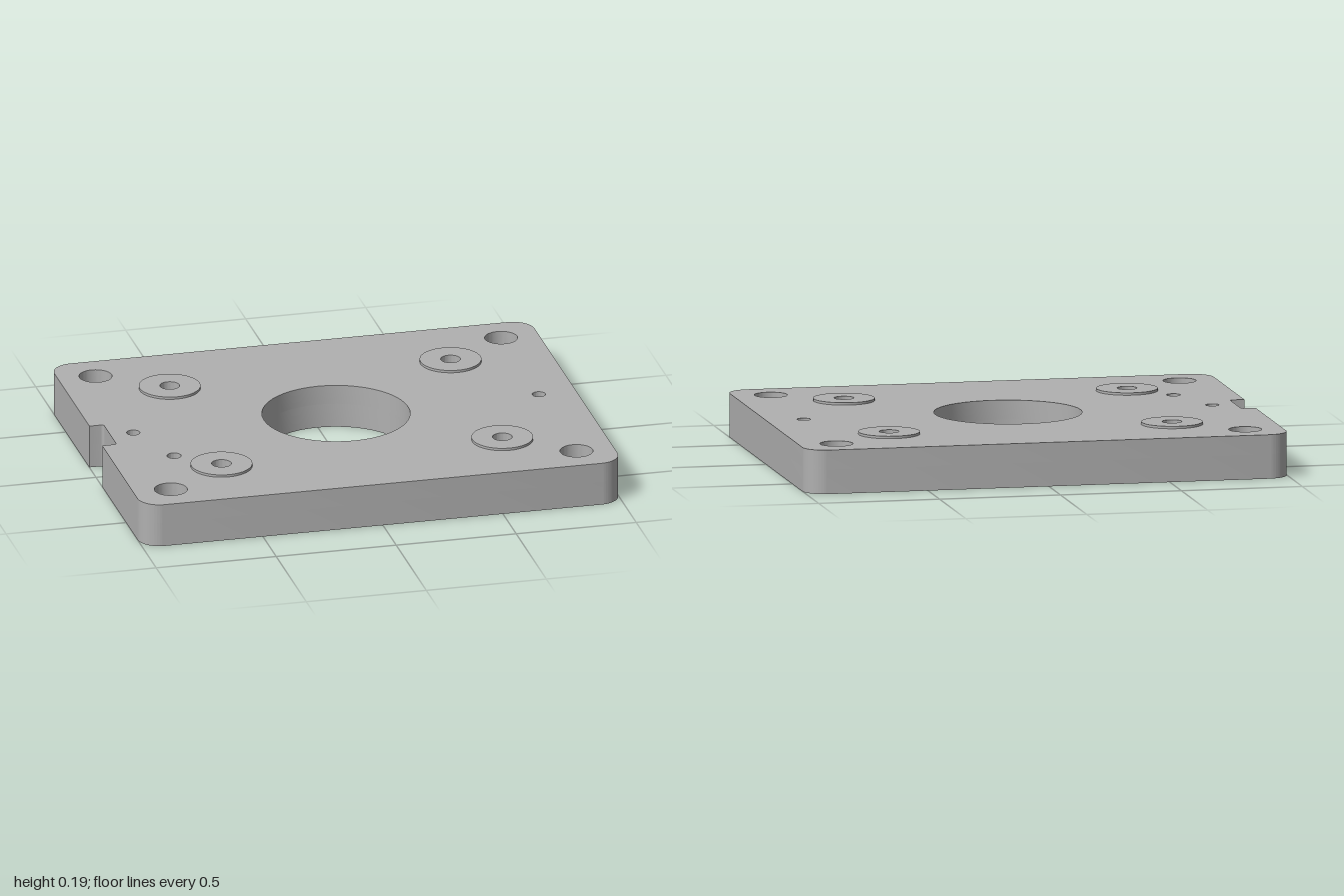
import * as THREE from 'three';
import { toCreasedNormals } from 'three/addons/utils/BufferGeometryUtils.js';

const TOP = 0.18, FLOOR = 0.1; // plate top, underside of the skin
const W = 1, D = 0.78;

export function createModel() {
  const group = new THREE.Group();
  const metal = new THREE.MeshStandardMaterial({ color: 0xb0b0b0 });
  metal.name = 'grey metal';

  // Extrude a plan drawn in (x, z) between heights y0 and y1
  function slab(name, shape, y0, y1) {
    let geo = new THREE.ExtrudeGeometry(shape, { depth: y1 - y0, bevelEnabled: false, curveSegments: 24 });
    geo.rotateX(Math.PI / 2);
    geo.translate(0, y1, 0);
    geo = toCreasedNormals(geo, 0.6);
    const mesh = new THREE.Mesh(geo, metal);
    mesh.name = name;
    group.add(mesh);
  }
  function circle(x, z, r, Type = THREE.Path) {
    return new Type().absarc(x, z, r, 0, Math.PI * 2, false);
  }
  function ring(name, x, z, r, hole, y0, y1) {
    const s = circle(x, z, r, THREE.Shape);
    s.holes.push(circle(x, z, hole));
    slab(name, s, y0, y1);
  }
  // Rounded outline with the cable notch in the -x edge
  function outline() {
    const r = 0.09, s = new THREE.Shape();
    s.moveTo(-W + r, -D);
    s.lineTo(W - r, -D);
    s.absarc(W - r, -D + r, r, -Math.PI / 2, 0, false);
    s.lineTo(W, D - r);
    s.absarc(W - r, D - r, r, 0, Math.PI / 2, false);
    s.lineTo(-W + r, D);
    s.absarc(-W + r, D - r, r, Math.PI / 2, Math.PI, false);
    s.lineTo(-W, 0.105);
    s.lineTo(-0.955, 0.105);
    s.quadraticCurveTo(-0.94, 0.105, -0.94, 0.09);
    s.lineTo(-0.94, -0.095);
    s.quadraticCurveTo(-0.94, -0.11, -0.955, -0.11);
    s.lineTo(-W, -0.11);
    s.lineTo(-W, -D + r);
    s.absarc(-W + r, -D + r, r, Math.PI, Math.PI * 1.5, false);
    return s;
  }

  const quads = [[1, 1], [1, -1], [-1, 1], [-1, -1]];
  const corners = quads.map(([a, b]) => [a * 0.845, b * 0.625]);
  const mounts = quads.map(([a, b]) => [a * 0.585, b * 0.43]);
  const pins = [[0.845, 0], [-0.845, 0]];
  const extra = [-0.745, 0.28];

  // Top skin with all its openings
  const skin = outline();
  skin.holes.push(circle(0, 0, 0.3), circle(...extra, 0.029));
  corners.forEach(c => skin.holes.push(circle(...c, 0.067)));
  mounts.forEach(c => skin.holes.push(circle(...c, 0.04)));
  pins.forEach(c => skin.holes.push(circle(...c, 0.027)));
  slab('topPlate', skin, FLOOR, TOP);

  // Outer wall, thickened around the notch
  const px = 0.92, pz = 0.7, wall = outline();
  const pocket = [[-px, -pz], [px, -pz], [px, pz], [-px, pz],
    [-px, 0.18], [-0.88, 0.18], [-0.88, -0.18], [-px, -0.18]];
  wall.holes.push(new THREE.Path(pocket.map(p => new THREE.Vector2(...p))));
  slab('outerWall', wall, 0, FLOOR);

  // Hub and bosses on the underside, raised pads on top
  ring('hub', 0, 0, 0.39, 0.3, 0, FLOOR);
  corners.forEach(c => ring('cornerBoss', ...c, 0.11, 0.04, 0, FLOOR));
  mounts.forEach(c => {
    ring('mountBoss', ...c, 0.105, 0.06, 0, FLOOR);
    ring('mountPad', ...c, 0.125, 0.04, TOP, 0.19);
  });
  pins.forEach(c => ring('pinBoss', ...c, 0.09, 0.027, 0, FLOOR));
  ring('sensorBoss', ...extra, 0.08, 0.029, 0, FLOOR);

  // Stiffening ribs
  function rib(x0, z0, x1, z1, width) {
    const len = Math.hypot(x1 - x0, z1 - z0);
    const nx = -(z1 - z0) / len * width / 2, nz = (x1 - x0) / len * width / 2;
    slab('rib', new THREE.Shape([[x0 + nx, z0 + nz], [x0 - nx, z0 - nz], [x1 - nx, z1 - nz], [x1 + nx, z1 + nz]]
      .map(p => new THREE.Vector2(...p))), 0, FLOOR);
  }
  for (const s of [1, -1]) rib(0, s * 0.37, 0, s * 0.72, 0.07);
  mounts.forEach(([mx, mz], i) => {
    const [cx, cz] = corners[i];
    const m = Math.hypot(mx, mz), d = Math.hypot(cx - mx, cz - mz);
    const ux = (cx - mx) / d, uz = (cz - mz) / d;
    rib(mx * 0.37 / m, mz * 0.37 / m, mx * (1 - 0.09 / m), mz * (1 - 0.09 / m), 0.06);
    rib(mx + ux * 0.09, mz + uz * 0.09, cx - ux * 0.08, cz - uz * 0.08, 0.06);
  });
  return group;
}
